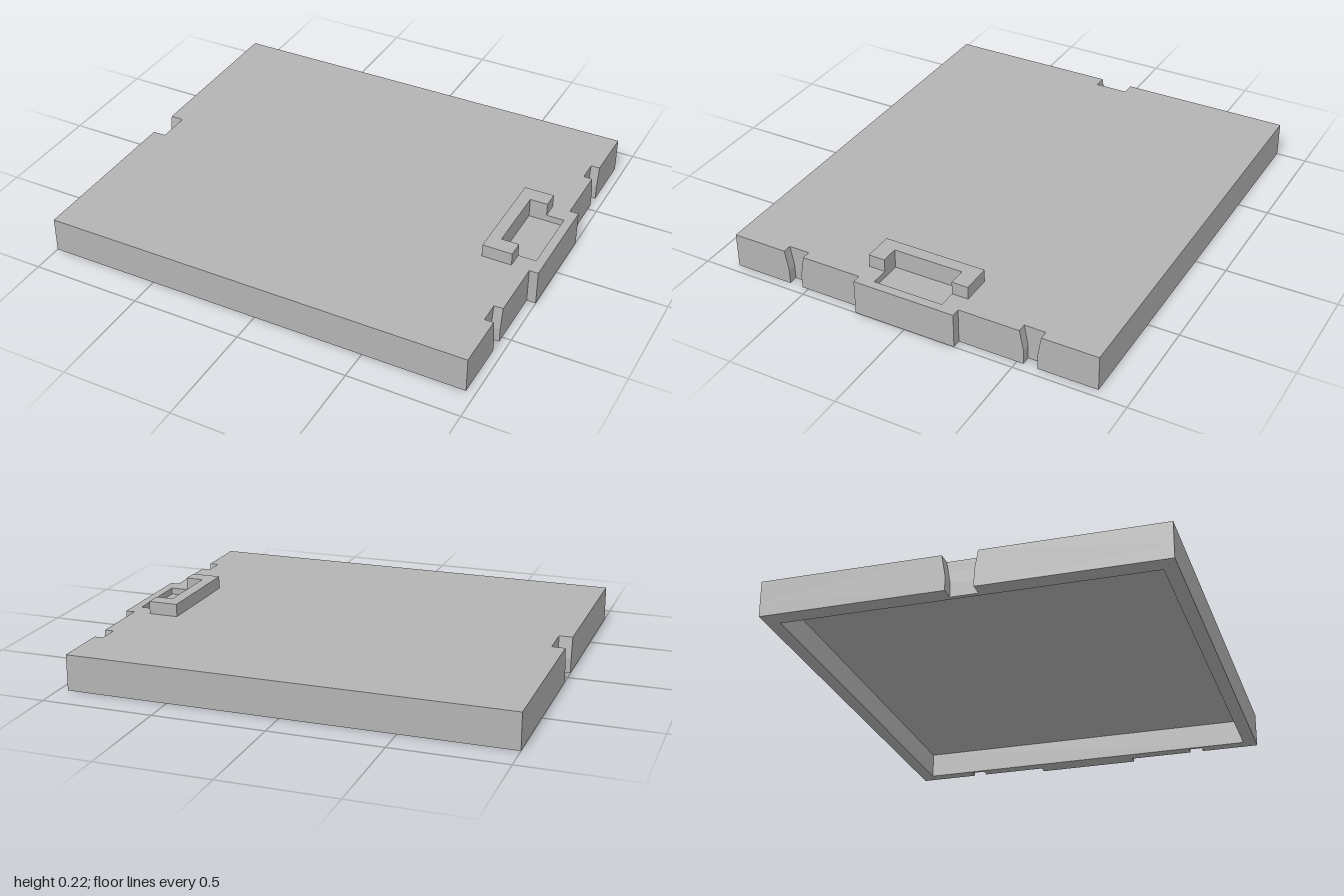
import * as THREE from 'three';

const TOP = 0.16;        // upper surface
const UNDER = 0.115;     // ceiling of the hollow underside
const FLOOR = 0.13;      // floor of the shallow pocket
const HALF_Z = 0.86;
const POCKET_Z = 0.16;

const toShape = (pts) => new THREE.Shape(pts.map(([x, y]) => new THREE.Vector2(x, y)));

// Plan outline [x, -z] raised from y0 to y1
function slab(pts, y0, y1, hole) {
  const shape = toShape(pts);
  if (hole) shape.holes.push(toShape(hole));
  const g = new THREE.ExtrudeGeometry(shape, { depth: y1 - y0, bevelEnabled: false });
  return g.rotateX(-Math.PI / 2).translate(0, y0, 0);
}

// Side profile [z, y] extruded from x0 to x1
function wall(pts, x0, x1) {
  const g = new THREE.ExtrudeGeometry(toShape(pts), { depth: x1 - x0, bevelEnabled: false });
  return g.rotateY(-Math.PI / 2).translate(x1, 0, 0);
}

const rect = (x0, x1, z0, z1) => [[x0, z0], [x1, z0], [x1, z1], [x0, z1]];

// Piece of side wall between two z limits; flared ends form the notches
function segment(z0, z1, flare0, flare1) {
  const bend = 0.065;
  return [
    [z0, 0], [z1, 0], [z1, bend], [z1 - flare1, TOP],
    [z0 + flare0, TOP], [z0, bend],
  ];
}

export function createModel() {
  const group = new THREE.Group();
  const grey = new THREE.MeshStandardMaterial({ color: 0xb3b3b3 });
  const add = (name, geometry) => {
    const mesh = new THREE.Mesh(geometry, grey);
    mesh.name = name;
    group.add(mesh);
  };

  // Hollow tray: rim, ceiling and top skin with the pocket cut out
  const core = rect(-0.94, 0.92, -HALF_Z, HALF_Z);
  add('rim', slab(core, 0, UNDER, rect(-0.92, 0.905, -0.80, 0.80)));
  add('plate', slab(core, UNDER, FLOOR));
  add('topSkin', slab([
    [-0.94, -HALF_Z], [0.92, -HALF_Z], [0.92, -POCKET_Z], [0.80, -POCKET_Z],
    [0.80, POCKET_Z], [0.92, POCKET_Z], [0.92, HALF_Z], [-0.94, HALF_Z],
  ], FLOOR, TOP));

  // Left edge with one centre notch
  for (const s of [-1, 1]) {
    const pts = s > 0 ? segment(0.06, HALF_Z, 0.016, 0) : segment(-HALF_Z, -0.06, 0, 0.016);
    add('leftEdge', wall(pts, -1, -0.94));
    // Right edge, outside its two notches
    const outer = s > 0 ? segment(0.592, HALF_Z, 0.016, 0) : segment(-HALF_Z, -0.592, 0, 0.016);
    add('rightEdgeEnd', wall(outer, 0.92, 0.96));
  }

  // Right edge between the notches, dipping at the pocket
  const middle = segment(-0.53, 0.53, 0.018, 0.018);
  middle.splice(4, 0,
    [POCKET_Z, TOP], [POCKET_Z, FLOOR], [-POCKET_Z, FLOOR], [-POCKET_Z, TOP]);
  add('rightEdgeMiddle', wall(middle, 0.92, 0.96));

  // Projecting tab
  add('tab', slab(rect(0.96, 1, -0.235, 0.235), 0, TOP));

  // Raised U-shaped handle around the pocket
  add('handle', slab([
    [0.745, -0.235], [0.88, -0.235], [0.88, -POCKET_Z], [0.80, -POCKET_Z],
    [0.80, POCKET_Z], [0.88, POCKET_Z], [0.88, 0.235], [0.745, 0.235],
  ], TOP, 0.218));

  return group;
}
